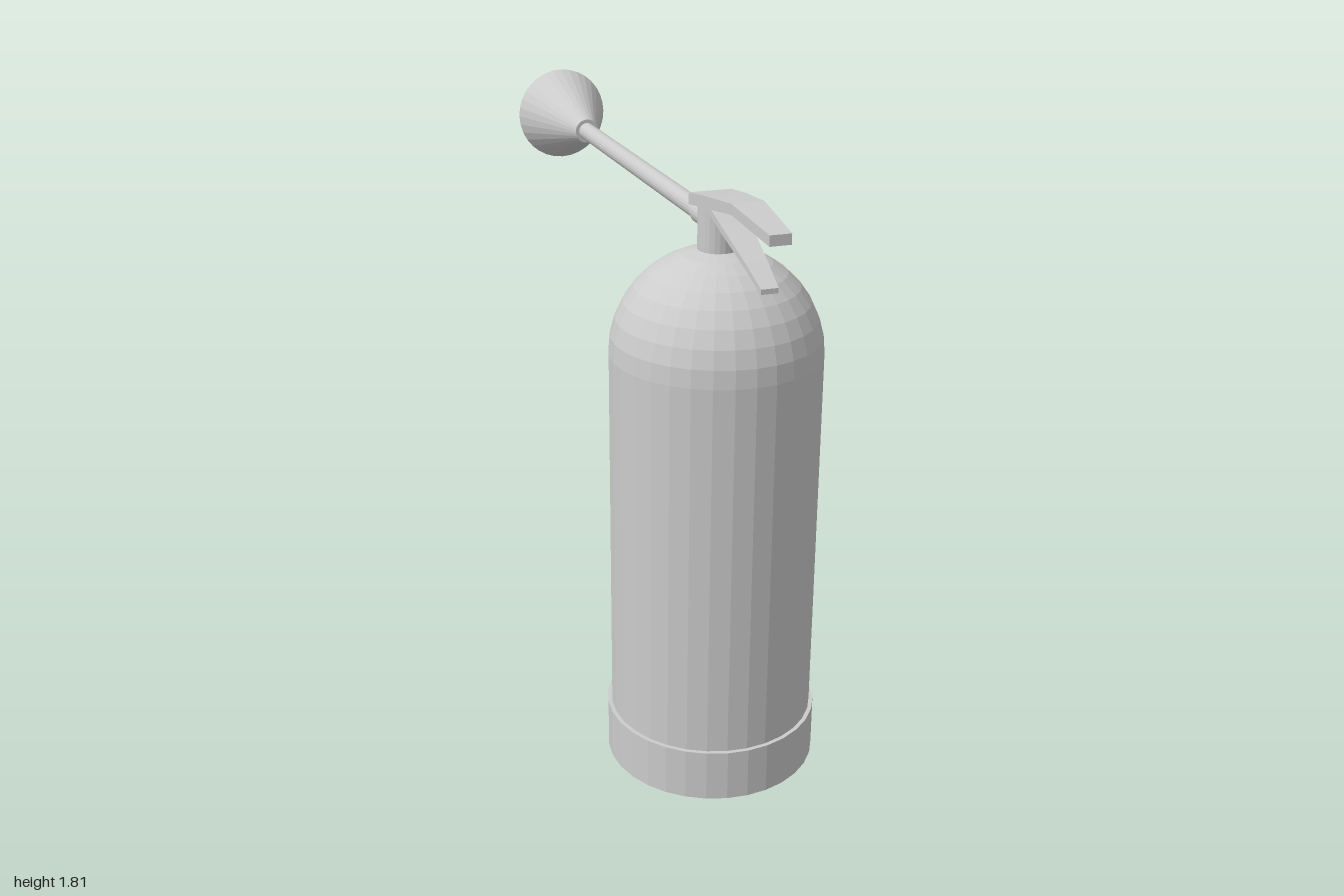
import * as THREE from 'three';

const SIDES = 32;
const TANK_Z = 0.578;
const PIPE_Y = 1.652;

const material = new THREE.MeshStandardMaterial({ color: 0xcccccc, flatShading: true });
const thinMaterial = new THREE.MeshStandardMaterial({ color: 0xcccccc, flatShading: true, side: THREE.DoubleSide });

// Revolve [radius, height] pairs around y.
function lathe(profile, sides) {
  return new THREE.LatheGeometry(profile.map(([r, h]) => new THREE.Vector2(r, h)), sides);
}

// Bar of rectangular sections, each { z, top, bottom, half }, listed from back to front.
function taperedBar(sections) {
  const positions = [];
  const index = [];
  for (const { z, top, bottom, half } of sections) {
    positions.push(-half, bottom, z, half, bottom, z, half, top, z, -half, top, z);
  }
  for (let s = 0; s < sections.length - 1; s++) {
    for (let k = 0; k < 4; k++) {
      const a = s * 4 + k;
      const b = s * 4 + ((k + 1) % 4);
      index.push(a, b, b + 4, a, b + 4, a + 4);
    }
  }
  const e = (sections.length - 1) * 4;
  index.push(0, 2, 1, 0, 3, 2, e, e + 1, e + 2, e, e + 2, e + 3);
  const geometry = new THREE.BufferGeometry();
  geometry.setAttribute('position', new THREE.Float32BufferAttribute(positions, 3));
  geometry.setIndex(index);
  geometry.computeVertexNormals();
  return geometry;
}

export function createModel() {
  const model = new THREE.Group();
  model.name = 'fireExtinguisher';

  function add(name, geometry, y = 0, z = 0, mat = material) {
    const mesh = new THREE.Mesh(geometry, mat);
    mesh.name = name;
    mesh.position.set(0, y, z);
    model.add(mesh);
    return mesh;
  }

  // Cylinder body with a hemispherical shoulder
  const tank = [[0, 0.02], [0.303, 0.02], [0.303, 1.285]];
  const rings = 9;
  for (let i = 1; i <= rings; i++) {
    const a = (i / rings) * Math.PI / 2;
    tank.push([i === rings ? 0 : 0.303 * Math.cos(a), 1.285 + 0.303 * Math.sin(a)]);
  }
  add('tank', lathe(tank, SIDES), 0, TANK_Z);

  // Foot ring
  add('base', new THREE.CylinderGeometry(0.315, 0.315, 0.157, SIDES), 0.0785, TANK_Z);

  // Valve neck
  add('valveNeck', new THREE.CylinderGeometry(0.057, 0.057, 0.145, 24), 1.6425, TANK_Z);

  // Pipe running back from the valve, with its collar
  const pipe = lathe([[0, -0.56], [0.033, -0.56], [0.033, -0.44], [0.028, -0.43], [0.028, 0.69], [0, 0.69]], 20);
  pipe.rotateX(-Math.PI / 2);
  add('pipe', pipe, PIPE_Y);

  // Open discharge horn
  const horn = lathe([[0.028, 0.677], [0.04, 0.677], [0.043, 0.69], [0.158, 1]], SIDES);
  horn.rotateX(-Math.PI / 2);
  add('horn', horn, PIPE_Y, 0, thinMaterial);

  // Upper carrying handle
  add('carryHandle', taperedBar([
    { z: 0.512, top: 1.728, bottom: 1.695, half: 0.062 },
    { z: 0.635, top: 1.746, bottom: 1.712, half: 0.056 },
    { z: 0.785, top: 1.762, bottom: 1.733, half: 0.046 },
    { z: 1.0, top: 1.735, bottom: 1.706, half: 0.03 },
  ]));

  // Lower squeeze lever
  add('squeezeLever', taperedBar([
    { z: 0.6, top: 1.728, bottom: 1.708, half: 0.048 },
    { z: 0.7, top: 1.685, bottom: 1.665, half: 0.042 },
    { z: 0.85, top: 1.622, bottom: 1.606, half: 0.031 },
    { z: 0.943, top: 1.578, bottom: 1.564, half: 0.024 },
  ]));

  return model;
}
